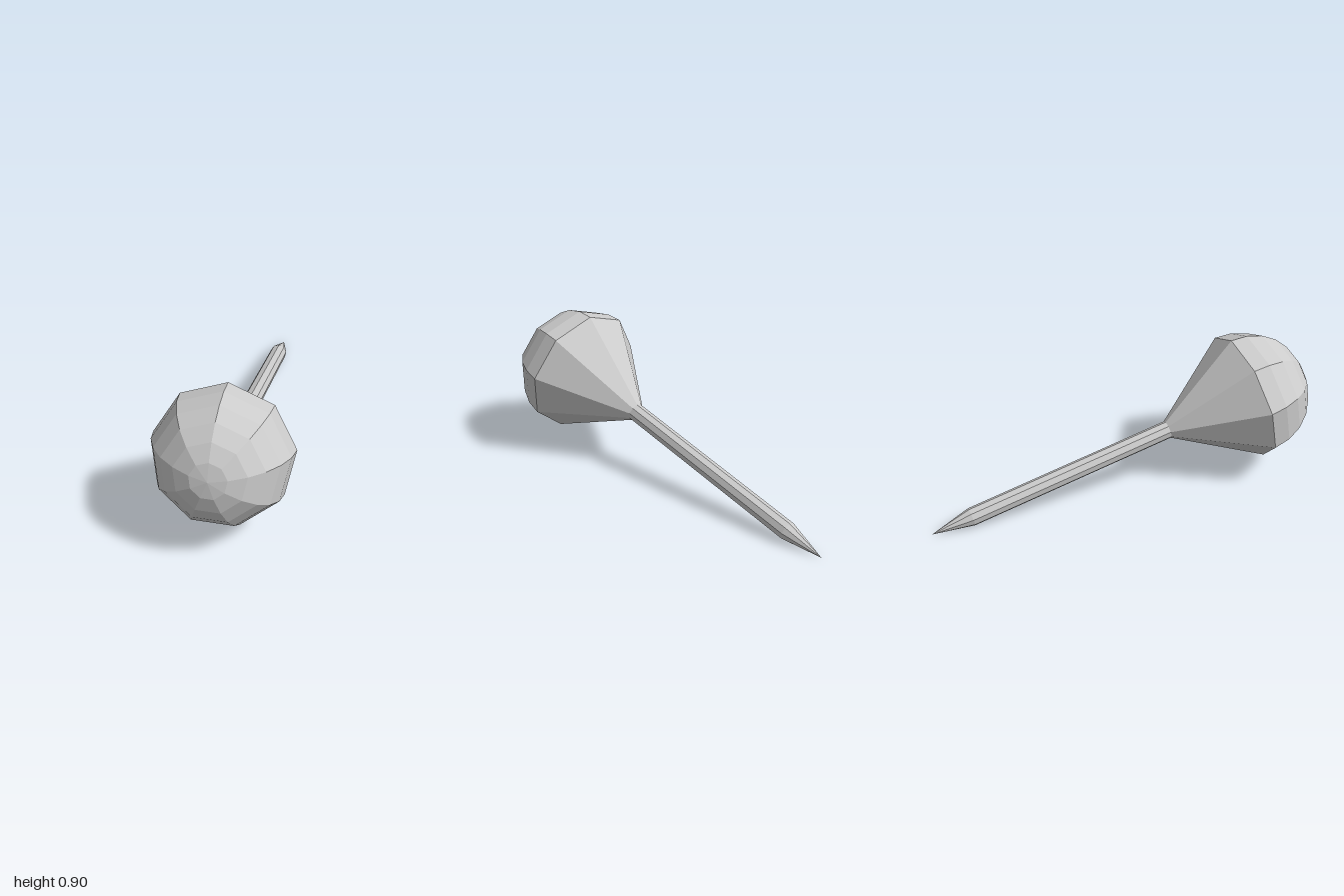
import * as THREE from 'three';

const SIDES = 9;
const HEAD_R = 0.403;   // radius of the head
const SHAFT_R = 0.055;  // radius of the shaft
const RIM = 2.06;       // distance from the tip to the widest ring
const NECK = 1.535;     // distance from the tip to the neck

export function createModel() {
  const group = new THREE.Group();
  group.name = 'pin';
  const material = new THREE.MeshStandardMaterial({ color: 0xcccccc, flatShading: true });

  const turned = (name, points) => {
    const profile = points.map(([r, y]) => new THREE.Vector2(r, y));
    const mesh = new THREE.Mesh(new THREE.LatheGeometry(profile, SIDES), material);
    mesh.name = name;
    group.add(mesh);
  };

  // Pointed tip and straight shaft
  turned('tip', [[0, 0], [SHAFT_R, 0.25]]);
  turned('shaft', [[SHAFT_R, 0.25], [SHAFT_R, NECK]]);

  // Cone flaring from the neck to the head
  turned('neckCone', [[SHAFT_R, NECK], [HEAD_R, RIM]]);

  // Domed head in six bands
  const dome = [];
  for (let i = 0; i <= 6; i++) {
    const a = (i * Math.PI) / 12;
    dome.push([i === 6 ? 0 : HEAD_R * Math.cos(a), RIM + HEAD_R * Math.sin(a)]);
  }
  turned('domeHead', dome);

  // Lay the pin down, leaning on its tip and the rim of its head
  const axis = new THREE.Vector3(0.59, 0.239, 0.771).normalize();
  const out = new THREE.Vector3(-0.32, 0.075, 0.222);
  out.addScaledVector(axis, -out.dot(axis)).normalize();
  const side = new THREE.Vector3().crossVectors(axis, out);
  group.quaternion.setFromRotationMatrix(new THREE.Matrix4().makeBasis(side, axis, out));
  group.position.set(-0.81, 0.003, -1);
  return group;
}
